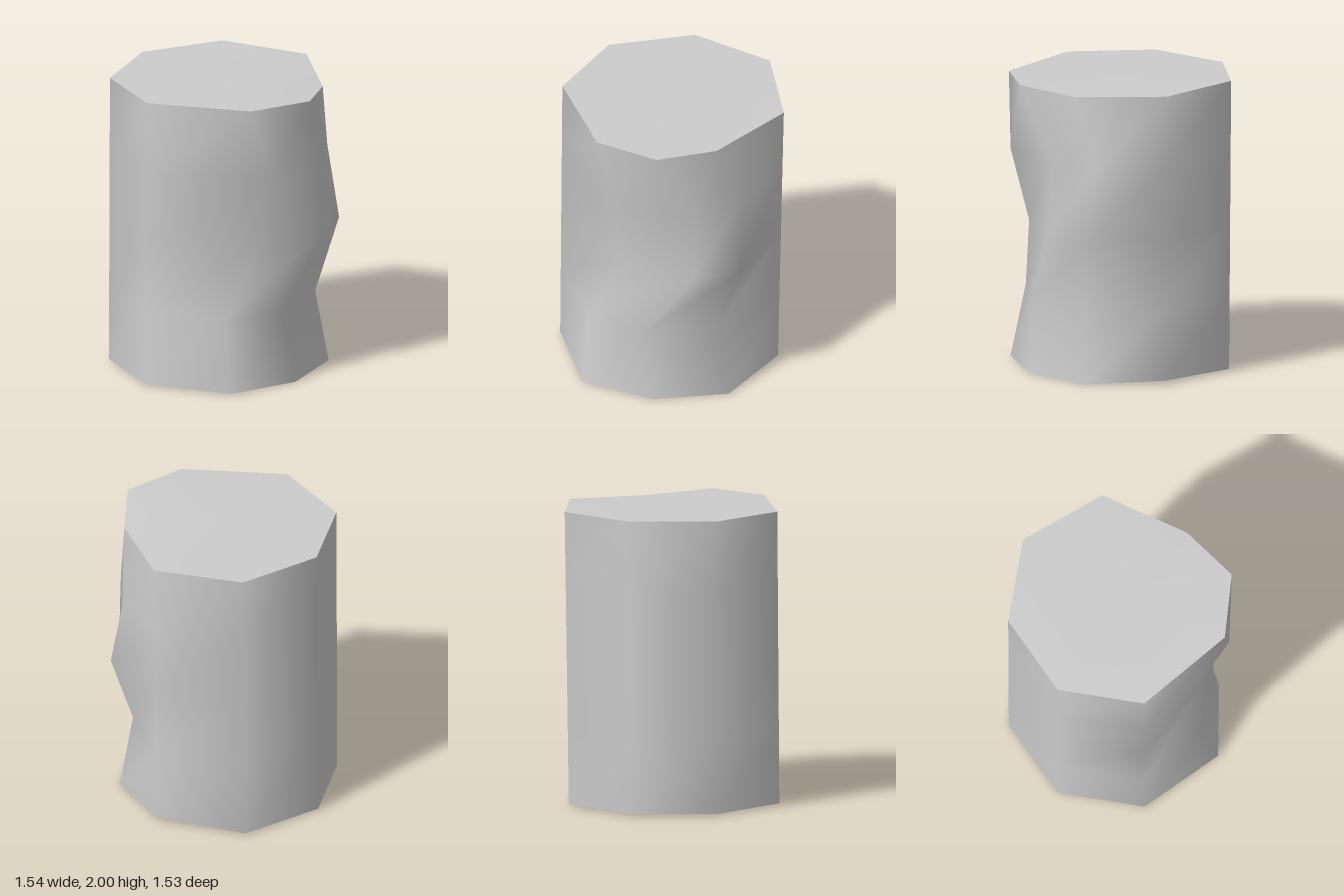
import * as THREE from 'three';

const SIDES = 8, LEVELS = 5;

// Bottom and top rings as [x, y, z], counter-clockwise from the front
const bottomRing = [
  [0, 0.015, 0.765], [0.56, 0.01, 0.51], [0.675, 0, 0.01], [0.52, 0, -0.48],
  [0.04, 0.025, -0.73], [-0.55, 0.01, -0.54], [-0.77, 0.01, 0], [-0.55, 0.01, 0.54],
];
const topRing = [
  [0, 2, 0.75], [0.63, 2, 0.4], [0.77, 2, -0.03], [0.54, 1.965, -0.4],
  [0.04, 1.99, -0.77], [-0.55, 2, -0.57], [-0.77, 2, -0.02], [-0.55, 2, 0.53],
];

// Dented columns: [x, z] at heights 0.5, 1 and 1.5
const dents = {
  1: [[0.46, 0.48], [0.56, 0.24], [0.69, 0.26]],
  2: [[0.62, 0.08], [0.68, -0.26], [0.655, -0.275]],
  3: [[0.47, -0.4], [0.54, -0.56], [0.45, -0.54]],
};

function ringPoint(level, i) {
  if (level === 0) return bottomRing[i];
  if (level === LEVELS - 1) return topRing[i];
  if (dents[i]) {
    const [x, z] = dents[i][level - 1];
    return [x, level / 2, z];
  }
  const t = level / (LEVELS - 1);
  return bottomRing[i].map((v, k) => v + (topRing[i][k] - v) * t);
}

function build(points, index) {
  const g = new THREE.BufferGeometry();
  g.setAttribute('position', new THREE.Float32BufferAttribute(points.flat(), 3));
  g.setIndex(index);
  g.computeVertexNormals();
  return g;
}

// Smooth wall with a shared seam
function wallGeometry() {
  const points = [], index = [];
  for (let l = 0; l < LEVELS; l++)
    for (let i = 0; i < SIDES; i++) points.push(ringPoint(l, i));
  for (let l = 0; l < LEVELS - 1; l++)
    for (let i = 0; i < SIDES; i++) {
      const j = (i + 1) % SIDES;
      const b = l * SIDES + i, c = l * SIDES + j;
      const a = b + SIDES, d = c + SIDES;
      index.push(a, b, d, b, c, d);
    }
  return build(points, index);
}

// End cap as a fan about its centre
function capGeometry(ring, y, up) {
  const points = [...ring, [0, y, 0]], index = [];
  for (let i = 0; i < SIDES; i++) {
    const j = (i + 1) % SIDES;
    index.push(SIDES, up ? i : j, up ? j : i);
  }
  return build(points, index);
}

export function createModel() {
  const group = new THREE.Group();
  group.name = 'dentedCylinder';
  const grey = new THREE.MeshStandardMaterial({ color: 0xcccccc });
  grey.name = 'light grey';
  const add = (name, geometry) => {
    const mesh = new THREE.Mesh(geometry, grey);
    mesh.name = name;
    group.add(mesh);
  };
  add('wall', wallGeometry());
  add('topCap', capGeometry(topRing, 2, true));
  add('bottomCap', capGeometry(bottomRing, 0.01, false));
  return group;
}
